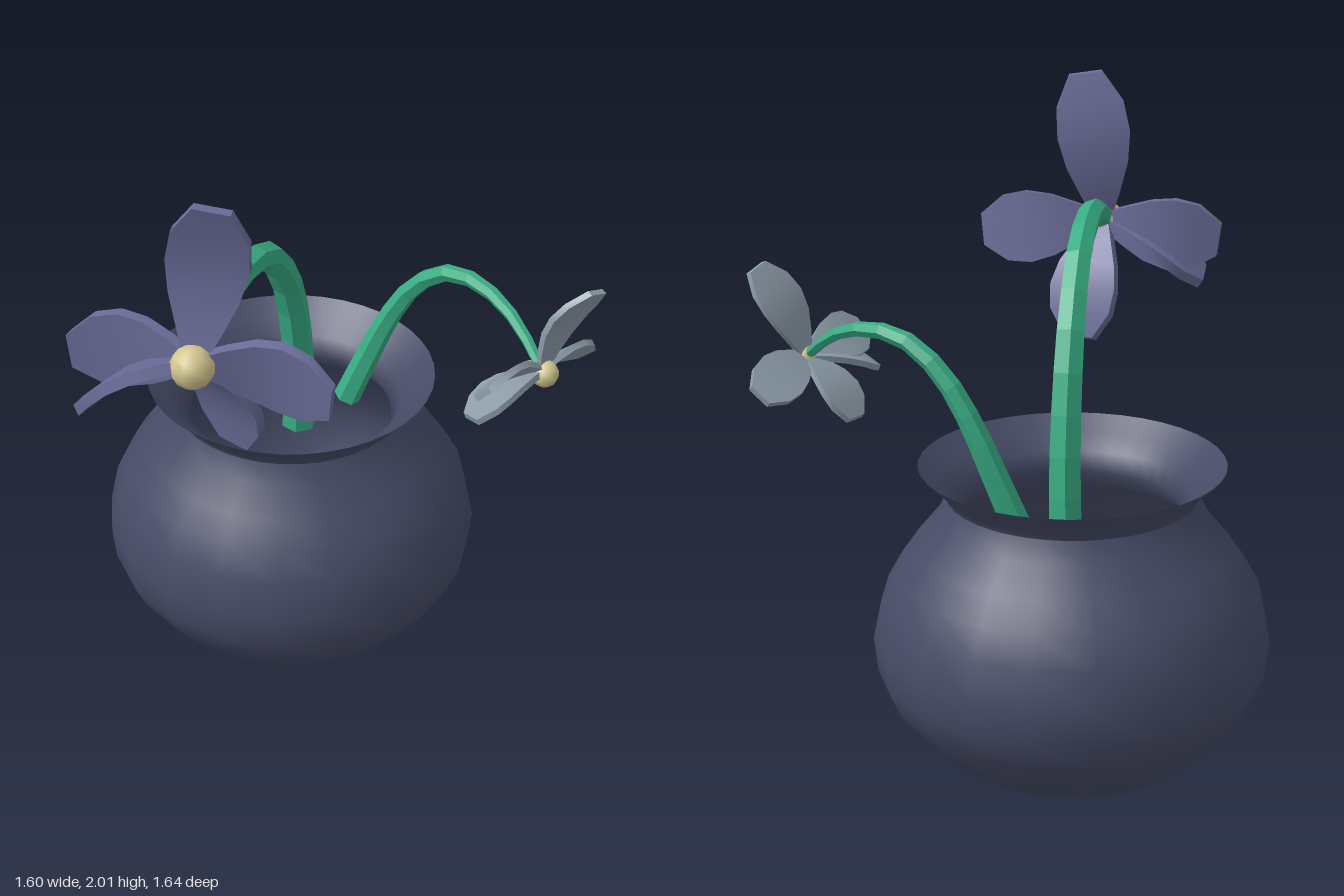
import * as THREE from 'three';

const mat = (name, color, side = THREE.FrontSide) => {
  const m = new THREE.MeshStandardMaterial({ color, side });
  m.name = name;
  return m;
};
const V = (a) => new THREE.Vector3(...a);

function flat(geometry) {
  const g = geometry.toNonIndexed();
  g.computeVertexNormals();
  return g;
}

function addMesh(parent, name, geometry, material) {
  const mesh = new THREE.Mesh(geometry, material);
  mesh.name = name;
  parent.add(mesh);
  return mesh;
}

// Six-sided stem that tapers along a smooth curve
function stemGeometry(points, r0, r1) {
  const n = 12, sides = 6;
  const curve = new THREE.CatmullRomCurve3(points.map(V));
  const g = new THREE.TubeGeometry(curve, n, 1, sides, false);
  const p = g.attributes.position, v = new THREE.Vector3();
  for (let i = 0; i <= n; i++) {
    const c = curve.getPointAt(i / n);
    const r = THREE.MathUtils.lerp(r0, r1, i / n);
    for (let j = 0; j <= sides; j++) {
      const k = i * (sides + 1) + j;
      v.fromBufferAttribute(p, k).sub(c).multiplyScalar(r).add(c);
      p.setXYZ(k, v.x, v.y, v.z);
    }
  }
  return flat(g);
}

// Petal slab from base to tip: narrow foot, broad blade, blunt end, bowed backwards
function petalGeometry(base, tip, across, facing, halfWidth, thickness) {
  const d = tip.clone().sub(base), length = d.length();
  d.normalize();
  const w = across.clone().addScaledVector(d, -across.dot(d)).normalize();
  let n = new THREE.Vector3().crossVectors(w, d);
  if (n.dot(facing) < 0) { w.negate(); n.negate(); }
  const widths = [0.22, 0.55, 0.85, 1, 0.92, 0.45];
  const rows = widths.length - 1;
  const g = new THREE.BoxGeometry(2, 1, 1, 2, rows, 1);
  const p = g.attributes.position;
  for (let i = 0; i < p.count; i++) {
    const t = p.getY(i) + 0.5;
    const x = p.getX(i) * widths[Math.round(t * rows)] * halfWidth;
    const bow = -0.1 * length * Math.sin(Math.PI * t);
    p.setXYZ(i, x, t * length, p.getZ(i) * thickness + bow);
  }
  g.applyMatrix4(new THREE.Matrix4().makeBasis(w, d, n).setPosition(base));
  g.computeVertexNormals();
  return g;
}

function flower(name, spec, petalMaterial, centreMaterial) {
  const group = new THREE.Group();
  group.name = name;
  const base = V(spec.base), facing = V(spec.facing).normalize();
  spec.petals.forEach(([tip, across], i) => addMesh(group, `petal${i + 1}`,
    petalGeometry(base, V(tip), V(across), facing, spec.halfWidth, spec.thickness), petalMaterial));
  const centre = addMesh(group, 'flowerCentre', new THREE.SphereGeometry(spec.centre, 10, 7), centreMaterial);
  centre.position.copy(base).addScaledVector(facing, spec.centre * 0.3);
  return group;
}

export function createModel() {
  const model = new THREE.Group();
  model.name = 'pottedFlowers';
  const slate = mat('slatePot', 0x464b66);
  const green = mat('stemGreen', 0x38ad84, THREE.DoubleSide);
  const violet = mat('violetPetal', 0x6a6c98);
  const grey = mat('greyPetal', 0x8c9ba8);
  const yellow = mat('paleYellow', 0xd3c68f);

  // Pot: separate lathes keep the foot, neck and rim edges sharp
  const pot = new THREE.Group();
  pot.name = 'pot';
  pot.position.set(-0.18, 0, -0.19);
  const profiles = {
    potBase: [[0, 0], [0.39, 0]],
    potBody: [[0.39, 0], [0.5, 0.1], [0.575, 0.195], [0.612, 0.28], [0.623, 0.39], [0.595, 0.52],
      [0.545, 0.61], [0.49, 0.69], [0.42, 0.775], [0.39, 0.845]],
    potNeck: [[0.39, 0.845], [0.4, 0.868], [0.475, 0.945]],
    potInside: [[0.475, 0.945], [0.42, 0.895], [0.365, 0.85], [0.335, 0.79], [0.39, 0.72],
      [0.54, 0.52], [0.57, 0.38], [0.53, 0.2], [0.44, 0.065]],
    potFloor: [[0.44, 0.065], [0, 0.065]],
  };
  for (const [name, pts] of Object.entries(profiles)) {
    const sides = name === 'potNeck' || name === 'potInside' ? 40 : 20;
    addMesh(pot, name, new THREE.LatheGeometry(pts.map(([x, y]) => new THREE.Vector2(x, y)), sides), slate);
  }
  model.add(pot);

  // Stems
  addMesh(model, 'tallStem', stemGeometry([
    [-0.175, 0.72, -0.225], [-0.167, 0.95, -0.215], [-0.145, 1.24, -0.155], [-0.113, 1.405, -0.07],
    [-0.06, 1.545, 0.07], [0.027, 1.598, 0.3], [0.1, 1.56, 0.49], [0.14, 1.51, 0.6]], 0.058, 0.036), green);
  addMesh(model, 'shortStem', stemGeometry([
    [-0.095, 0.78, -0.38], [-0.04, 0.95, -0.42], [0.03, 1.13, -0.452], [0.12, 1.27, -0.47],
    [0.24, 1.352, -0.475], [0.38, 1.36, -0.462], [0.53, 1.31, -0.43], [0.66, 1.215, -0.387]], 0.045, 0.016), green);

  // Flowers: each petal is a tip position and a width direction
  model.add(flower('violetFlower', {
    base: [0.14, 1.505, 0.6], facing: [0.4, -0.1, 0.9], halfWidth: 0.12, thickness: 0.035, centre: 0.066,
    petals: [
      [[0.19, 2.0, 0.565], [0.85, 0, -0.53]],
      [[0.52, 1.46, 0.45], [0.1, 1, 0.1]],
      [[0.13, 1.14, 0.42], [1, 0, 0]],
      [[-0.16, 1.31, 0.755], [0.31, 0.22, 0.69]],
      [[-0.235, 1.455, 0.72], [0, 1, 0]],
    ],
  }, violet, yellow));
  model.add(flower('greyFlower', {
    base: [0.665, 1.21, -0.385], facing: [0.85, -0.45, 0], halfWidth: 0.082, thickness: 0.02, centre: 0.044,
    petals: [
      [[0.785, 1.5, -0.465], [0.2, 0, -1]],
      [[0.66, 1.15, -0.64], [0.7, 0.65, 0]],
      [[0.475, 1.04, -0.4], [0, 0, 1]],
      [[0.59, 1.13, -0.13], [0.9, 0.3, 0]],
      [[0.63, 1.24, -0.125], [0.65, 0.7, 0]],
    ],
  }, grey, yellow));
  return model;
}
